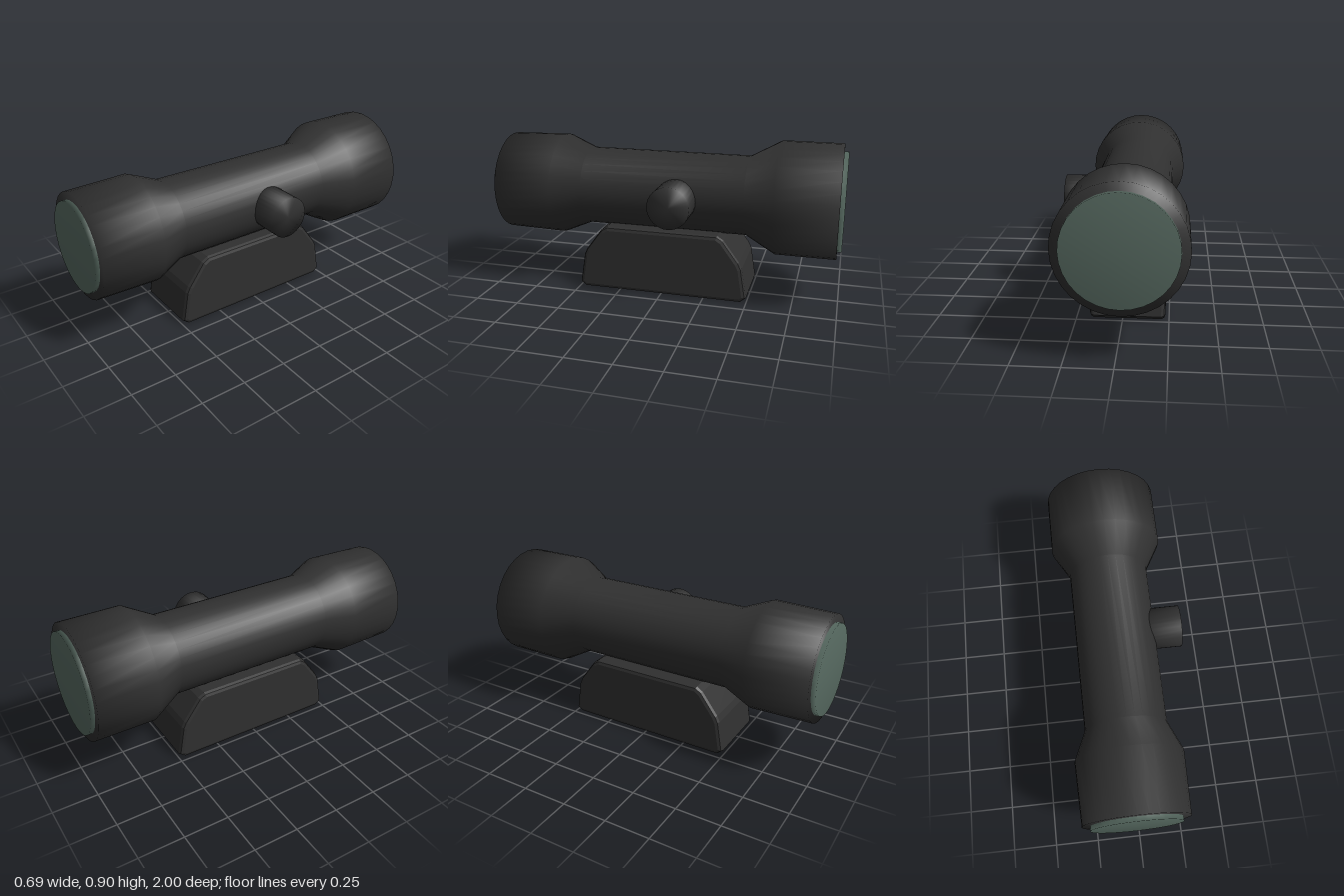
import * as THREE from 'three';

const AXIS_X = -0.027, AXIS_Y = 0.58, SIDES = 32;

export function createModel() {
  const model = new THREE.Group();
  const black = new THREE.MeshStandardMaterial({ color: 0x303030 });
  black.name = 'matte black';
  const glass = new THREE.MeshStandardMaterial({ color: 0x576a61 });
  glass.name = 'green glass';

  function add(name, geometry, material, x = 0, y = 0, z = 0) {
    const mesh = new THREE.Mesh(geometry, material);
    mesh.name = name;
    mesh.position.set(x, y, z);
    model.add(mesh);
    return mesh;
  }

  // Smooth turned part from [radius, position along the axis] pairs, lying along z
  function turned(profile) {
    const points = profile.map(([r, p]) => new THREE.Vector2(r, p));
    return new THREE.LatheGeometry(points, SIDES).rotateX(Math.PI / 2);
  }

  // Scope body, back to front, with both flared bells and closed ends
  add('scopeBody', turned([
    [0, -0.975], [0.32, -0.975], [0.32, -0.64], [0.226, -0.47],
    [0.226, 0.47], [0.296, 0.635], [0.288, 0.975], [0, 0.975],
  ]), black, AXIS_X, AXIS_Y);

  // Lens discs standing slightly proud of each end
  add('frontLens', turned([[0.245, 0.96], [0.245, 1], [0, 1]]), glass, AXIS_X, AXIS_Y);
  add('rearLens', turned([[0, -1], [0.277, -1], [0.277, -0.96]]), glass, AXIS_X, AXIS_Y);

  // Adjustment knob on the left side
  const knob = turned([[0, 0], [0.118, 0], [0.118, 0.2], [0, 0.2]]).rotateY(Math.PI / 2);
  add('adjustmentKnob', knob, black, 0.145, 0.578, -0.09);

  // Tapered mount, bevelled along its outer edges
  const bevel = 0.022;
  const half = [[0.457, 0.022], [0.474, 0.036], [0.448, 0.195], [0.434, 0.225], [0.345, 0.345], [0.318, 0.362]];
  const outline = [...half, ...half.slice().reverse().map(([z, y]) => [-z, y])];
  const shape = new THREE.Shape(outline.map(([z, y]) => new THREE.Vector2(z, y)));
  const width = 0.406;
  const mount = new THREE.ExtrudeGeometry(shape, {
    depth: width - 2 * bevel, bevelEnabled: true,
    bevelSize: bevel, bevelThickness: bevel, bevelSegments: 2,
  });
  mount.translate(0, 0, -width / 2 + bevel).rotateY(Math.PI / 2);
  add('mount', mount, black, AXIS_X, 0, 0);

  return model;
}
